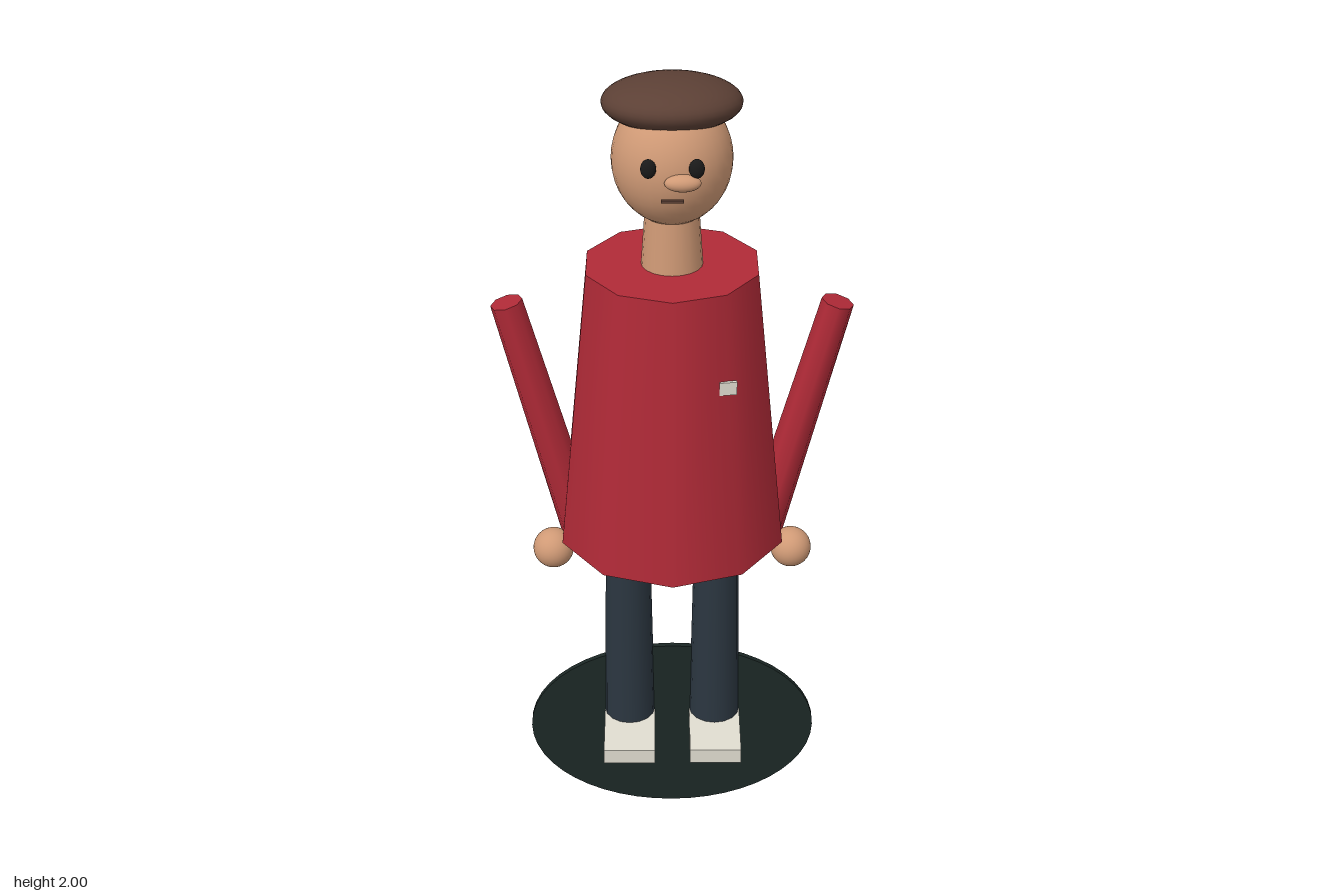
import * as THREE from 'three';

const mat = (color) => new THREE.MeshStandardMaterial({ color });

export function createModel() {
  const group = new THREE.Group();
  const red = mat(0xb02a37), skin = mat(0xd09a76), hairMat = mat(0x5c4035);
  const navy = mat(0x2b3640), dark = mat(0x1c2826), pale = mat(0xe0ddd0), black = mat(0x1a1a1a);

  const add = (name, geometry, material, x, y, z) => {
    const mesh = new THREE.Mesh(geometry, material);
    mesh.name = name;
    mesh.position.set(x, y, z);
    group.add(mesh);
    return mesh;
  };
  const ellipsoid = (name, material, x, y, z, rx, ry, rz) => {
    const mesh = add(name, new THREE.SphereGeometry(1, 32, 20), material, x, y, z);
    mesh.scale.set(rx, ry, rz);
    return mesh;
  };

  // Upright oval disc around the feet
  const disc = add('baseDisc', new THREE.CylinderGeometry(1, 1, 0.014, 48), dark, 0, 0.25, 0);
  disc.rotation.x = Math.PI / 2;
  disc.scale.set(0.362, 1, 0.25);

  // Ten-sided coat, open sleeves and neck
  add('coat', new THREE.CylinderGeometry(0.204, 0.277, 0.7, 10), red, 0, 1.215, 0);
  add('neck', new THREE.CylinderGeometry(0.06, 0.071, 0.16, 20), skin, 0, 1.635, 0);

  // Head and face
  ellipsoid('head', skin, 0, 1.82, 0, 0.135, 0.15, 0.135);
  ellipsoid('hair', hairMat, 0, 1.941, -0.025, 0.156, 0.058, 0.141).rotation.x = -0.09;
  ellipsoid('nose', skin, 0.022, 1.818, 0.138, 0.04, 0.019, 0.021);
  add('mouth', new THREE.BoxGeometry(0.05, 0.006, 0.008), hairMat, 0, 1.779, 0.144);

  // Paired parts
  for (const side of [1, -1]) {
    const name = (part) => (side > 0 ? 'left' : 'right') + part;
    ellipsoid(name('Eye'), black, side * 0.052, 1.85, 0.135, 0.017, 0.022, 0.012);

    const arm = add(name('Arm'), new THREE.CylinderGeometry(0.038, 0.047, 0.62, 8), red, side * 0.301, 1.172, 0.012);
    arm.rotation.z = -side * 0.25;
    ellipsoid(name('Hand'), skin, side * 0.288, 0.82, 0.036, 0.049, 0.049, 0.049);

    add(name('Leg'), new THREE.CylinderGeometry(0.053, 0.064, 0.6, 16), navy, side * 0.108, 0.577, 0);
    add(name('Shoe'), new THREE.BoxGeometry(0.128, 0.04, 0.188), pale, side * 0.108, 0.28, 0.081);
  }

  // Plain patch on the chest
  add('chestPatch', new THREE.BoxGeometry(0.04, 0.032, 0.008), pale, 0.124, 1.345, 0.189).rotation.y = 0.15;

  return group;
}
